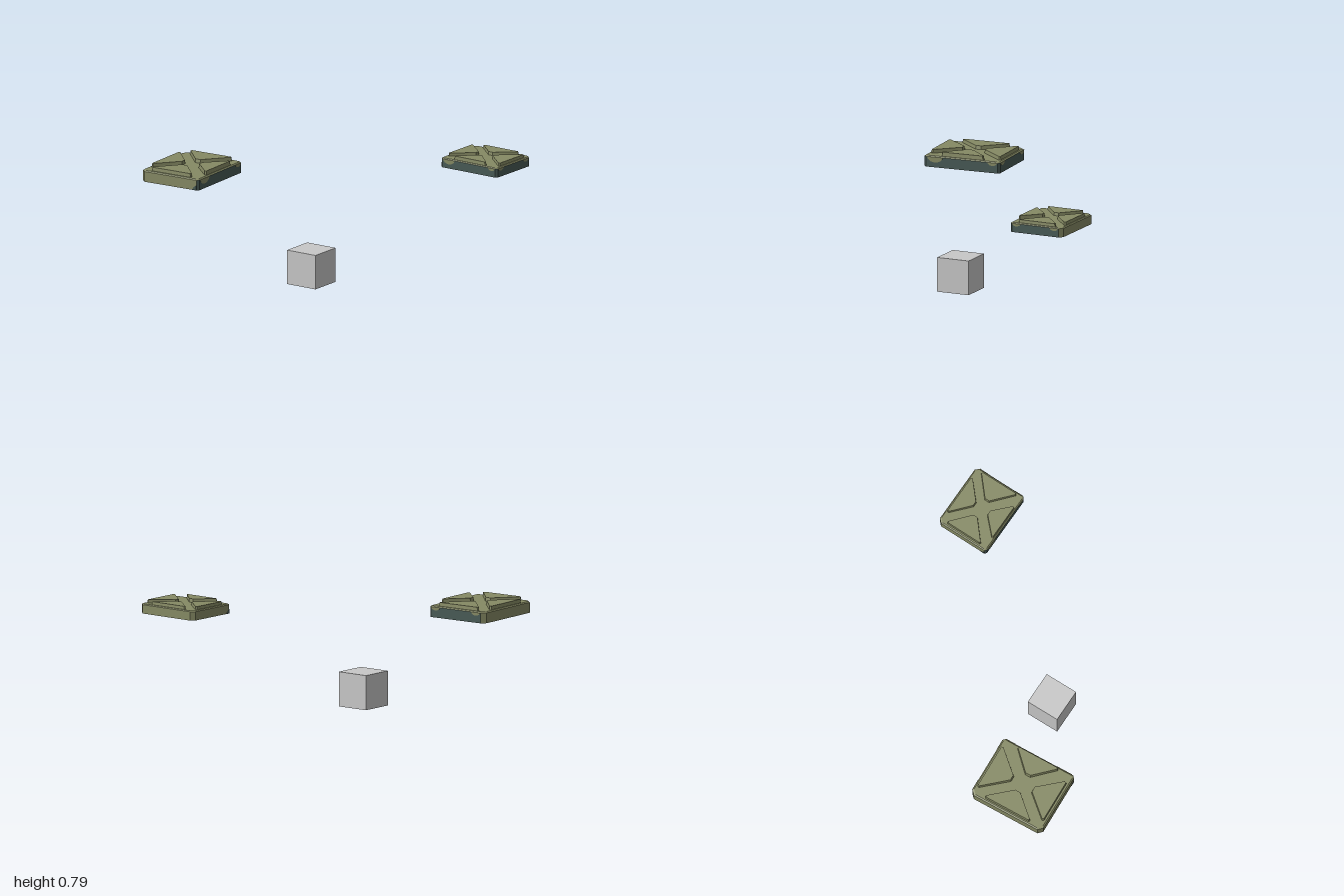
import * as THREE from 'three';

const mat = (name, color) => {
  const m = new THREE.MeshStandardMaterial({ color });
  m.name = name;
  return m;
};

// Flat-faced solid from an outline [x, z] and levels [y, inset].
// tealSides lists the side faces of the first band that use material 1.
function loft(outline, levels, tealSides = [], tealBase = false) {
  const n = outline.length;
  const cx = outline.reduce((s, p) => s + p[0], 0) / n;
  const cz = outline.reduce((s, p) => s + p[1], 0) / n;
  const hx = Math.max(...outline.map(p => Math.abs(p[0] - cx)));
  const hz = Math.max(...outline.map(p => Math.abs(p[1] - cz)));
  const rings = levels.map(([y, inset]) => outline.map(([x, z]) =>
    [cx + (x - cx) * (1 - inset / hx), y, cz + (z - cz) * (1 - inset / hz)]));
  const faces = [[], []];
  for (let l = 0; l < rings.length - 1; l++) {
    for (let i = 0; i < n; i++) {
      const j = (i + 1) % n, lo = rings[l], hi = rings[l + 1];
      faces[l === 0 && tealSides.includes(i) ? 1 : 0].push(lo[i], hi[i], lo[j], lo[j], hi[i], hi[j]);
    }
  }
  const top = rings[rings.length - 1], base = rings[0];
  for (let i = 0; i < n; i++) {
    const j = (i + 1) % n;
    faces[0].push([cx, top[0][1], cz], top[j], top[i]);
    faces[tealBase ? 1 : 0].push([cx, base[0][1], cz], base[i], base[j]);
  }
  const geo = new THREE.BufferGeometry();
  geo.setAttribute('position', new THREE.Float32BufferAttribute([...faces[0], ...faces[1]].flat(), 3));
  geo.addGroup(0, faces[0].length, 0);
  geo.addGroup(faces[0].length, faces[1].length, 1);
  geo.computeVertexNormals();
  return geo;
}

function createPanel(name, olive, teal) {
  const panel = new THREE.Group();
  panel.name = name;

  // Slab with wide cut corners on one side and small ones on the other
  const outline = [[0.23, -0.262], [0.23, 0.262], [0.215, 0.277], [-0.2, 0.277],
    [-0.23, 0.247], [-0.23, -0.247], [-0.2, -0.277], [0.215, -0.277]];
  const slab = new THREE.Mesh(
    loft(outline, [[0, 0], [0.071, 0], [0.078, 0.009]], [0, 1, 6, 7], true), [olive, teal]);
  slab.name = 'slab';
  panel.add(slab);

  // Four raised wedges that leave an X-shaped channel: base, half width, tip, top
  [[0.217, 0.157, 0.07, 0.107], [0.255, 0.16, 0.08, 0.103],
    [0.212, 0.175, 0.06, 0.103], [0.258, 0.167, 0.078, 0.103]].forEach(([base, half, tip, top], k) => {
    let pts = [[base, -half + 0.006], [base, half - 0.006], [base - 0.012, half],
      [tip, 0.02], [tip, -0.02], [base - 0.012, -half]];
    for (let q = 0; q < k; q++) pts = pts.map(([x, z]) => [-z, x]);
    const wedge = new THREE.Mesh(loft(pts, [[0.076, 0], [top, 0.005]]), [olive, teal]);
    wedge.name = 'raisedWedge';
    panel.add(wedge);
  });

  // Painted scallops hanging from the upper edge of the dark sides
  const scallop = (x, z, turn, half, depth) => {
    const shape = new THREE.Shape();
    shape.moveTo(-half, 0);
    shape.bezierCurveTo(-half * 0.8, -depth * 1.3, half * 0.7, -depth * 1.3, half, 0);
    const geo = new THREE.ExtrudeGeometry(shape, { depth: 0.002, bevelEnabled: false, curveSegments: 10 });
    const patch = new THREE.Mesh(geo, olive);
    patch.name = 'paintPatch';
    patch.position.set(x, 0.071, z);
    patch.rotation.y = turn;
    panel.add(patch);
  };
  scallop(0.23, 0.195, Math.PI / 2, 0.058, 0.038);
  scallop(0.23, -0.225, Math.PI / 2, 0.036, 0.022);
  scallop(0.175, -0.277, Math.PI, 0.038, 0.022);
  scallop(-0.16, -0.277, Math.PI, 0.038, 0.022);

  // Dark paint wrapping the lower front corner
  const corner = new THREE.Shape([[0.18, 0], [0.215, 0], [0.215, 0.035], [0.195, 0.022]]
    .map(p => new THREE.Vector2(...p)));
  const wrap = new THREE.Mesh(new THREE.ExtrudeGeometry(corner, { depth: 0.002, bevelEnabled: false }), teal);
  wrap.name = 'darkCorner';
  wrap.position.z = 0.277;
  panel.add(wrap);
  return panel;
}

export function createModel() {
  const olive = mat('olive', 0x868a64);
  const teal = mat('dark teal', 0x485a55);
  const grey = mat('light grey', 0xc8c8c8);
  const model = new THREE.Group();
  model.name = 'floatingPanels';

  // Large panel at the front right
  const large = createPanel('largePanel', olive, teal);
  large.position.set(-0.757, 0.68, 0.605);
  large.rotation.y = 0.053;
  model.add(large);

  // Smaller panel at the back left, a quarter turn round
  const small = createPanel('smallPanel', olive, teal);
  small.position.set(0.753, 0.7, -0.705);
  small.rotation.y = -Math.PI / 2 - 0.018;
  small.scale.setScalar(0.85);
  model.add(small);

  // Plain cube below
  const cube = new THREE.Mesh(new THREE.BoxGeometry(0.236, 0.238, 0.236), grey);
  cube.name = 'cube';
  cube.position.set(0.039, 0.119, 0.326);
  model.add(cube);
  return model;
}
